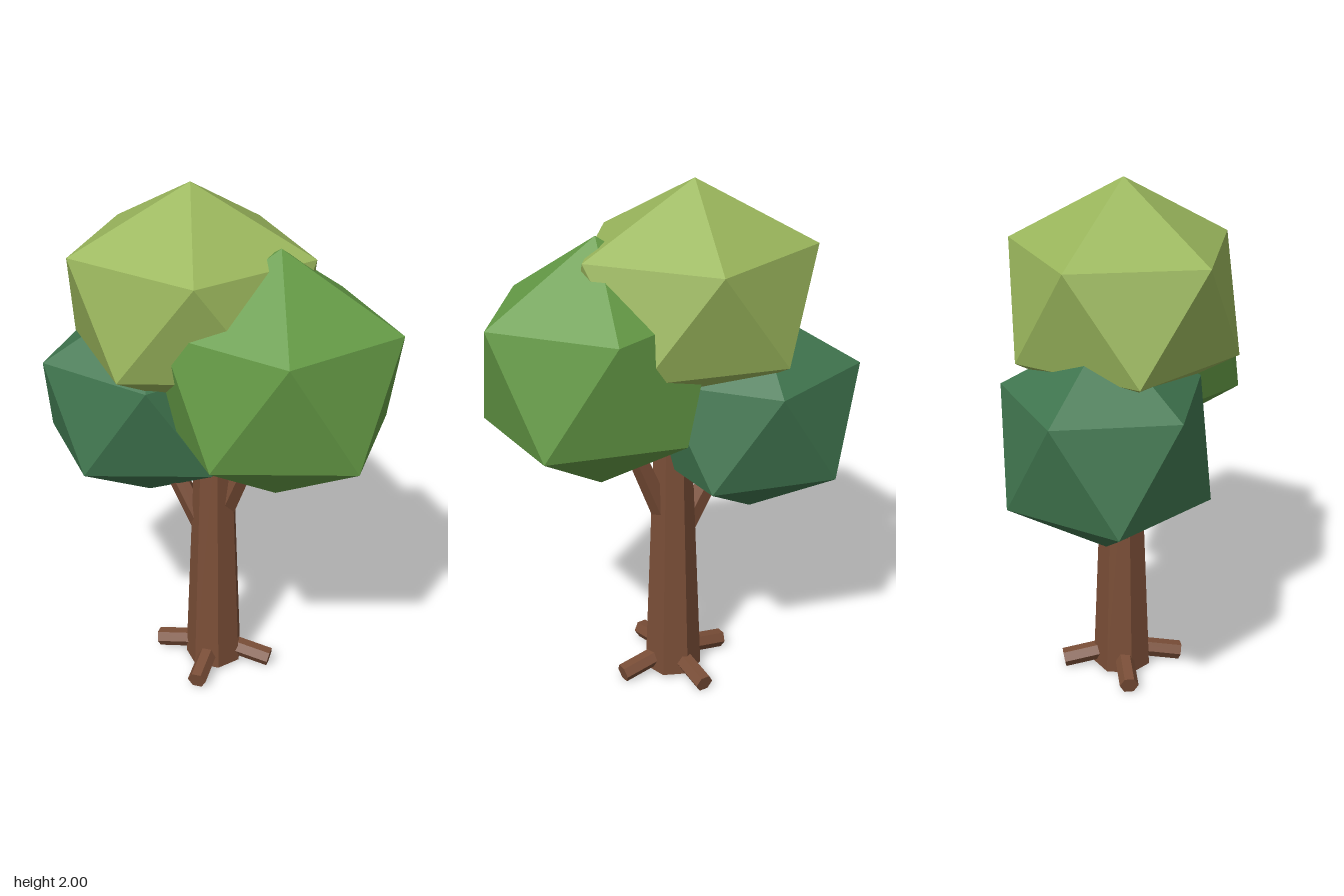
import * as THREE from 'three';

const mat = (name, color) => {
  const m = new THREE.MeshStandardMaterial({ color });
  m.name = name;
  return m;
};

// Gives every face its own hard-edged normal
function faceted(geo) {
  const g = geo.index ? geo.toNonIndexed() : geo;
  g.computeVertexNormals();
  return g;
}

// Low-poly rod between two points
function rod(name, from, to, r0, r1, sides, material, turn = 0) {
  const a = new THREE.Vector3(...from), b = new THREE.Vector3(...to);
  const dir = b.clone().sub(a);
  const geo = new THREE.CylinderGeometry(r1, r0, dir.length(), sides);
  geo.rotateY(turn);
  const mesh = new THREE.Mesh(faceted(geo), material);
  mesh.name = name;
  mesh.position.copy(a).add(b).multiplyScalar(0.5);
  mesh.quaternion.setFromUnitVectors(new THREE.Vector3(0, 1, 0), dir.normalize());
  return mesh;
}

// Icosahedron standing on a corner, stretched to the given radii
function foliage(name, centre, radii, material) {
  const geo = new THREE.IcosahedronGeometry(1, 0);
  geo.rotateZ(-Math.atan(2 / (1 + Math.sqrt(5))));
  geo.scale(...radii);
  const mesh = new THREE.Mesh(faceted(geo), material);
  mesh.name = name;
  mesh.position.set(...centre);
  return mesh;
}

export function createModel() {
  const tree = new THREE.Group();
  tree.name = 'tree';
  const bark = mat('bark brown', 0x7a4e37);
  const lime = mat('light leaf green', 0x9ab65c);
  const green = mat('leaf green', 0x659b46);
  const dark = mat('dark leaf green', 0x40764f);

  // Trunk and roots
  const wood = new THREE.Group();
  wood.name = 'wood';
  wood.position.z = -0.008;
  wood.add(rod('trunk', [0, 0.015, 0], [0, 1.12, 0], 0.115, 0.07, 7, bark, Math.PI));
  for (let i = 0; i < 4; i++) {
    const root = new THREE.Group();
    root.name = 'root' + (i + 1);
    root.rotation.y = i * Math.PI / 2;
    root.add(rod('rootRod', [0.05, 0.073, 0], [0.235, 0.038, 0], 0.037, 0.037, 6, bark));
    wood.add(root);
  }

  // Branches
  wood.add(rod('rightBranch', [-0.03, 0.59, 0], [-0.24, 0.97, -0.03], 0.045, 0.038, 5, bark));
  wood.add(rod('leftBranch', [0.02, 0.66, 0], [0.2, 1.12, 0.03], 0.045, 0.036, 5, bark));
  tree.add(wood);

  // Crown
  tree.add(foliage('topFoliage', [-0.09, 1.58, -0.013], [0.514, 0.425, 0.467], lime));
  tree.add(foliage('leftFoliage', [0.265, 1.35, 0.076], [0.492, 0.48, 0.453], green));
  tree.add(foliage('rightFoliage', [-0.3, 1.11, -0.102], [0.458, 0.42, 0.423], dark));
  return tree;
}
